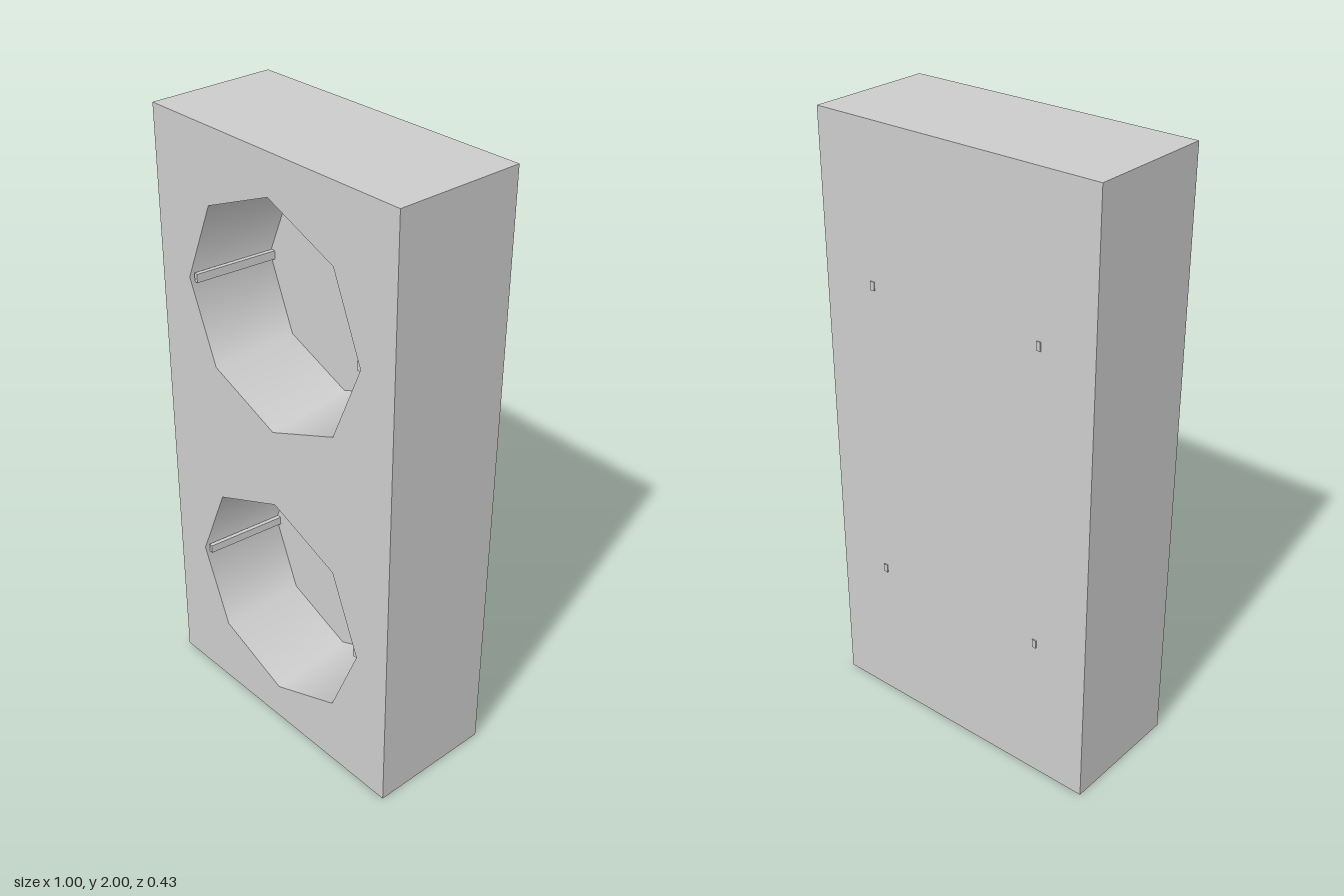
import * as THREE from 'three';

const WIDTH = 1, HEIGHT = 2, BACK = -0.21, FRONT = 0.215;
const RIM = 0.37, FLOOR_RADIUS = 0.34, FLOOR_Z = -0.07;
const CENTRES = [0.5, 1.5];

const grey = new THREE.MeshStandardMaterial({ color: 0xcccccc });
const greyDouble = new THREE.MeshStandardMaterial({ color: 0xcccccc, side: THREE.DoubleSide });

function addMesh(parent, name, geometry, x, y, z, material = grey) {
  const mesh = new THREE.Mesh(geometry, material);
  mesh.name = name;
  mesh.position.set(x, y, z);
  parent.add(mesh);
  return mesh;
}

// Box without its +z face, which the pierced front panel replaces
function openBox(w, h, d) {
  const box = new THREE.BoxGeometry(w, h, d);
  const index = Array.from(box.index.array);
  index.splice(24, 6);
  box.setIndex(index);
  box.clearGroups();
  return box;
}

// Front panel with two octagonal openings
function frontPanel() {
  const w = WIDTH / 2;
  const shape = new THREE.Shape([
    new THREE.Vector2(-w, 0), new THREE.Vector2(w, 0),
    new THREE.Vector2(w, HEIGHT), new THREE.Vector2(-w, HEIGHT),
  ]);
  for (const cy of CENTRES) {
    const points = [];
    for (let i = 0; i < 8; i++) {
      const a = -i * Math.PI / 4;
      points.push(new THREE.Vector2(RIM * Math.cos(a), cy + RIM * Math.sin(a)));
    }
    shape.holes.push(new THREE.Path(points));
  }
  return new THREE.ShapeGeometry(shape);
}

// Tapered octagonal recess with a slim pin along each side wall
function createRecess(y) {
  const recess = new THREE.Group();
  recess.name = 'recess';
  recess.position.y = y;

  const depth = FRONT - FLOOR_Z;
  const wall = new THREE.CylinderGeometry(RIM, FLOOR_RADIUS, depth, 8, 1, true);
  wall.rotateX(Math.PI / 2);
  addMesh(recess, 'recessWall', wall, 0, 0, (FRONT + FLOOR_Z) / 2, greyDouble);
  addMesh(recess, 'recessFloor', new THREE.CircleGeometry(FLOOR_RADIUS, 8), 0, 0, FLOOR_Z);

  // Pins follow the wall's taper and just break through the back
  for (const side of [-1, 1]) {
    const front = new THREE.Vector3(side * 0.353, 0, 0.205);
    const back = new THREE.Vector3(side * 0.31, 0, -0.214);
    const mid = front.clone().add(back).multiplyScalar(0.5);
    const pin = addMesh(recess, side > 0 ? 'leftPin' : 'rightPin',
      new THREE.BoxGeometry(0.014, 0.028, front.distanceTo(back)), mid.x, 0, mid.z);
    pin.rotation.y = Math.atan2(front.x - back.x, front.z - back.z);
  }
  return recess;
}

export function createModel() {
  const model = new THREE.Group();
  model.name = 'twinRecessBlock';
  const depth = FRONT - BACK;
  addMesh(model, 'body', openBox(WIDTH, HEIGHT, depth), 0, HEIGHT / 2, (FRONT + BACK) / 2);
  addMesh(model, 'frontPanel', frontPanel(), 0, 0, FRONT);
  for (const y of CENTRES) model.add(createRecess(y));
  return model;
}
